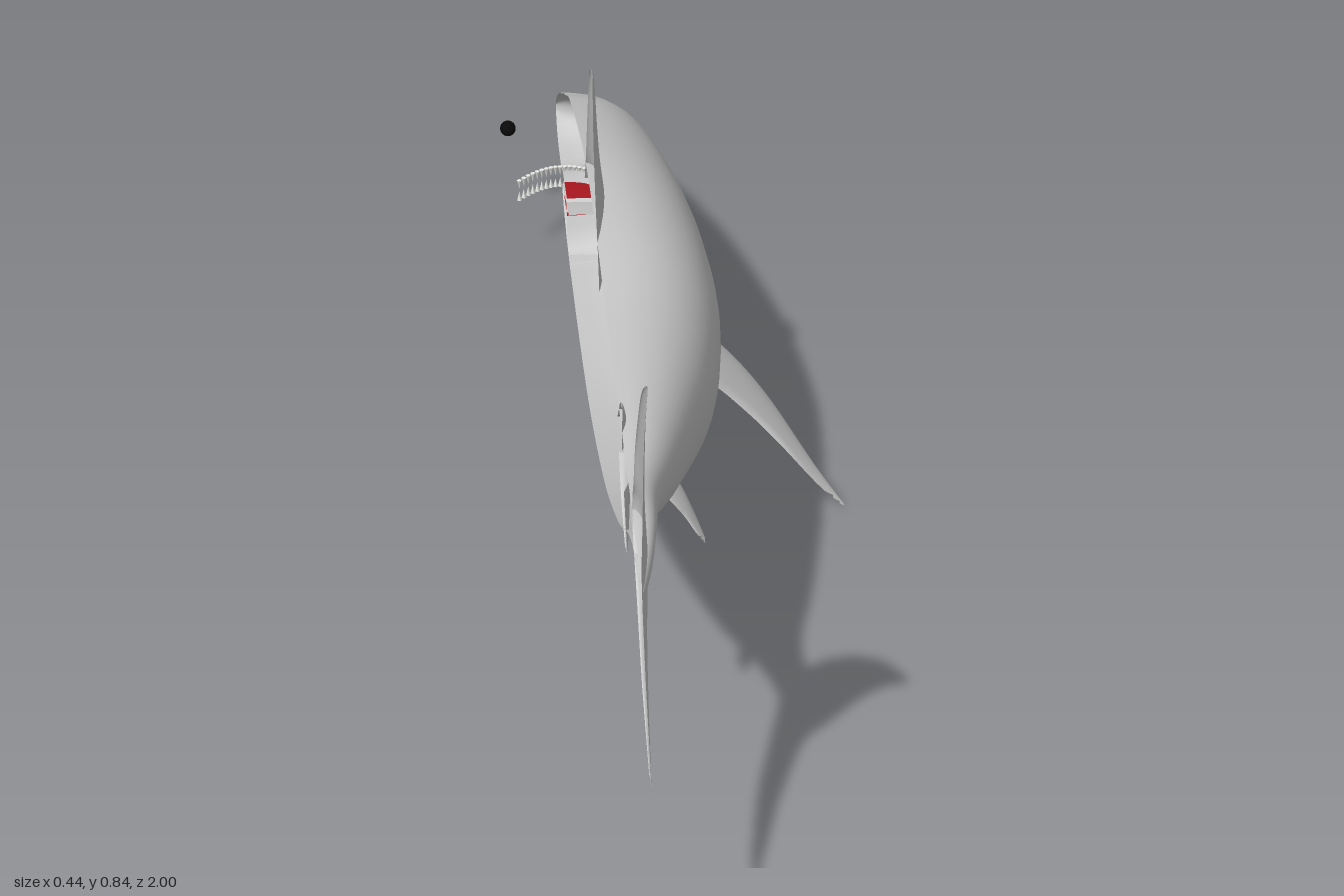
import * as THREE from 'three';

const X0 = -0.13; // the flat plane where the half body is cut open

const paint = (color) => new THREE.MeshStandardMaterial({ color, side: THREE.DoubleSide });
const grey = paint(0xcccccc), black = paint(0x0a0a0a), red = paint(0xb01820), white = paint(0xe8e8e4);

// Catmull-Rom interpolation through rows of numbers, u from 0 to 1
function sample(rows, u) {
  const n = rows.length - 1, f = u * n, i = Math.min(Math.floor(f), n - 1), t = f - i;
  const [a, b, c, d] = [i - 1, i, i + 1, i + 2].map((k) => rows[Math.max(0, Math.min(n, k))]);
  return b.map((p, k) => {
    const m0 = (c[k] - a[k]) / 2, m1 = (d[k] - p) / 2, e = c[k] - p;
    return p + t * (m0 + t * (3 * e - 2 * m0 - m1 + t * (m0 + m1 - 2 * e)));
  });
}

// Smooth surface over a grid, fn(u, v) gives [x, y, z]
function surface(fn, nu, nv) {
  const pos = [], index = [];
  for (let i = 0; i <= nu; i++)
    for (let j = 0; j <= nv; j++) {
      pos.push(...fn(i / nu, j / nv));
      if (i < nu && j < nv) {
        const a = i * (nv + 1) + j, b = a + nv + 1;
        index.push(a, a + 1, b, b, a + 1, b + 1);
      }
    }
  const g = new THREE.BufferGeometry();
  g.setAttribute('position', new THREE.Float32BufferAttribute(pos, 3));
  g.setIndex(index);
  g.computeVertexNormals();
  return g;
}

// Half hull from sections [z, top, bottom, halfWidth, height fraction of the widest point]
function halfHull(rows, nv = 24) {
  const p = 0.9;
  return surface((u, v) => {
    const [z, top, bottom, w, f] = sample(rows, u);
    const a = (v - 0.5) * Math.PI, s = Math.sin(a), cy = bottom + (top - bottom) * f;
    const h = s > 0 ? top - cy : cy - bottom;
    return [X0 + Math.max(w, 0) * Math.pow(Math.max(Math.cos(a), 0), p),
      cy + h * Math.sign(s) * Math.pow(Math.abs(s), p), z];
  }, (rows.length - 1) * 4, nv);
}

const foil = (c) => 1.75 * Math.sqrt(c) * (1 - c); // thickness along the chord, 0 = leading edge

// Upright fin, one face only, from sections [y, leadZ, trailZ, halfThickness]
function halfFin(rows) {
  return surface((u, v) => {
    const [y, lead, trail, t] = sample(rows, u), c = (1 - v) ** 2;
    return [X0 + t * foil(c), y, lead + (trail - lead) * c];
  }, (rows.length - 1) * 4, 12);
}

// Paired fin, both faces, from sections [x, y, leadZ, trailZ, halfThickness, tilt]
function sideFin(rows) {
  return surface((u, v) => {
    const [x, y, lead, trail, t, tilt] = sample(rows, u);
    const c = (1 - Math.abs(2 * v - 1)) ** 2, side = v < 0.5 ? 1 : -1;
    return [x + side * t * 0.5 * foil(c), y + side * t * foil(c) + tilt * (2 * c - 1), lead + (trail - lead) * c];
  }, (rows.length - 1) * 4, 20);
}

export function createModel() {
  const group = new THREE.Group();
  const add = (name, geometry, material = grey) => {
    const m = new THREE.Mesh(geometry, material);
    m.name = name;
    group.add(m);
    return m;
  };

  // Body from snout to tail stalk, with the roof of the mouth stepping up behind the snout
  add('body', halfHull([
    [-1, 0.145, 0.135, 0, 0.5],
    [-0.985, 0.163, 0.118, 0.03, 0.45],
    [-0.95, 0.187, 0.107, 0.055, 0.4],
    [-0.9, 0.217, 0.106, 0.077, 0.4],
    [-0.86, 0.24, 0.11, 0.09, 0.4],
    [-0.82, 0.26, 0.125, 0.104, 0.35],
    [-0.765, 0.29, 0.13, 0.115, 0.32],
    [-0.73, 0.307, 0.122, 0.12, 0.36],
    [-0.695, 0.324, 0.06, 0.125, 0.47],
    [-0.6, 0.37, 0.058, 0.137, 0.47],
    [-0.4, 0.437, 0.073, 0.155, 0.48],
    [-0.2, 0.488, 0.1, 0.167, 0.48],
    [0, 0.508, 0.148, 0.168, 0.48],
    [0.2, 0.503, 0.213, 0.143, 0.5],
    [0.4, 0.508, 0.302, 0.095, 0.55],
    [0.5, 0.51, 0.355, 0.068, 0.55],
    [0.6, 0.505, 0.415, 0.04, 0.5],
    [0.7, 0.512, 0.462, 0.029, 0.5],
    [0.78, 0.508, 0.47, 0.018, 0.5],
    [0.85, 0.5, 0.48, 0.003, 0.5],
  ]));

  // Lower jaw and mouth
  add('lowerJaw', halfHull([
    [-0.837, 0.094, 0.088, 0, 0.5],
    [-0.828, 0.098, 0.08, 0.045, 0.6],
    [-0.8, 0.104, 0.069, 0.075, 0.7],
    [-0.76, 0.112, 0.061, 0.1, 0.75],
    [-0.72, 0.125, 0.056, 0.118, 0.75],
    [-0.66, 0.14, 0.058, 0.122, 0.7],
  ], 16));
  add('mouthLining', halfHull([
    [-0.79, 0.127, 0.1, 0.055, 0.5],
    [-0.76, 0.134, 0.105, 0.09, 0.5],
    [-0.71, 0.14, 0.11, 0.108, 0.5],
  ], 10), red);

  // Teeth along both sides of the jaws, upper row down and lower row up
  const tooth = new THREE.ConeGeometry(0.0042, 0.015, 5);
  for (const side of [-1, 1])
    for (const upper of [true, false])
      for (let i = 0; i < 10; i++) {
        const t = (i + 0.5) / 10;
        const m = add(upper ? 'upperTooth' : 'lowerTooth', tooth, white);
        m.position.set(X0 + side * 0.072 * t, (upper ? 0.122 : 0.103) + 0.009 * t, -0.828 + 0.058 * t ** 1.7);
        if (upper) m.rotation.x = Math.PI;
      }

  // Eyes and nostril
  for (const side of [-1, 1])
    add('eye', new THREE.SphereGeometry(0.012, 20, 14), black).position.set(X0 + side * 0.08, 0.172, -0.878);
  const nostril = add('nostril', new THREE.SphereGeometry(0.01, 14, 10), black);
  nostril.position.set(X0 + 0.06, 0.123, -0.925);
  nostril.scale.set(0.8, 0.6, 1.2);

  // Fins on the centre plane
  add('dorsalFin', halfFin([
    [0.45, -0.22, 0.09, 0.034],
    [0.5, -0.185, 0.065, 0.028],
    [0.55, -0.158, 0.03, 0.02],
    [0.61, -0.126, 0.003, 0.014],
    [0.66, -0.098, -0.005, 0.01],
    [0.7, -0.064, -0.004, 0.006],
    [0.72, -0.015, 0, 0.001],
  ]));
  add('secondDorsalFin', halfFin([
    [0.48, 0.44, 0.52, 0.016],
    [0.515, 0.475, 0.525, 0.01],
    [0.535, 0.495, 0.532, 0.005],
    [0.546, 0.525, 0.536, 0.001],
  ]));
  add('analFin', halfFin([
    [0.366, 0.562, 0.572, 0.001],
    [0.388, 0.51, 0.6, 0.008],
    [0.41, 0.48, 0.575, 0.014],
    [0.44, 0.46, 0.55, 0.02],
  ]));
  add('tailFin', halfFin([
    [0.313, 0.957, 1, 0.001],
    [0.36, 0.85, 0.958, 0.006],
    [0.41, 0.79, 0.91, 0.01],
    [0.446, 0.75, 0.885, 0.014],
    [0.49, 0.7, 0.86, 0.02],
    [0.53, 0.702, 0.85, 0.018],
    [0.57, 0.725, 0.862, 0.014],
    [0.635, 0.755, 0.877, 0.01],
    [0.7, 0.8, 0.893, 0.008],
    [0.757, 0.845, 0.914, 0.006],
    [0.8, 0.89, 0.938, 0.004],
    [0.845, 0.955, 0.965, 0.001],
  ]));

  // Paired fins
  add('pectoralFin', sideFin([
    [-0.02, 0.175, -0.41, -0.12, 0.022, 0.025],
    [0.035, 0.137, -0.37, -0.138, 0.018, 0.025],
    [0.085, 0.102, -0.325, -0.125, 0.014, 0.018],
    [0.13, 0.066, -0.26, -0.1, 0.012, 0.014],
    [0.18, 0.026, -0.14, -0.065, 0.008, 0.007],
    [0.216, 0.004, -0.058, -0.046, 0.002, 0.001],
  ]));
  add('pelvicFin', sideFin([
    [-0.09, 0.35, 0.25, 0.4, 0.014, 0.01],
    [-0.05, 0.312, 0.315, 0.42, 0.01, 0.008],
    [-0.032, 0.293, 0.365, 0.435, 0.006, 0.005],
    [-0.02, 0.282, 0.42, 0.438, 0.001, 0],
  ]));

  return group;
}
